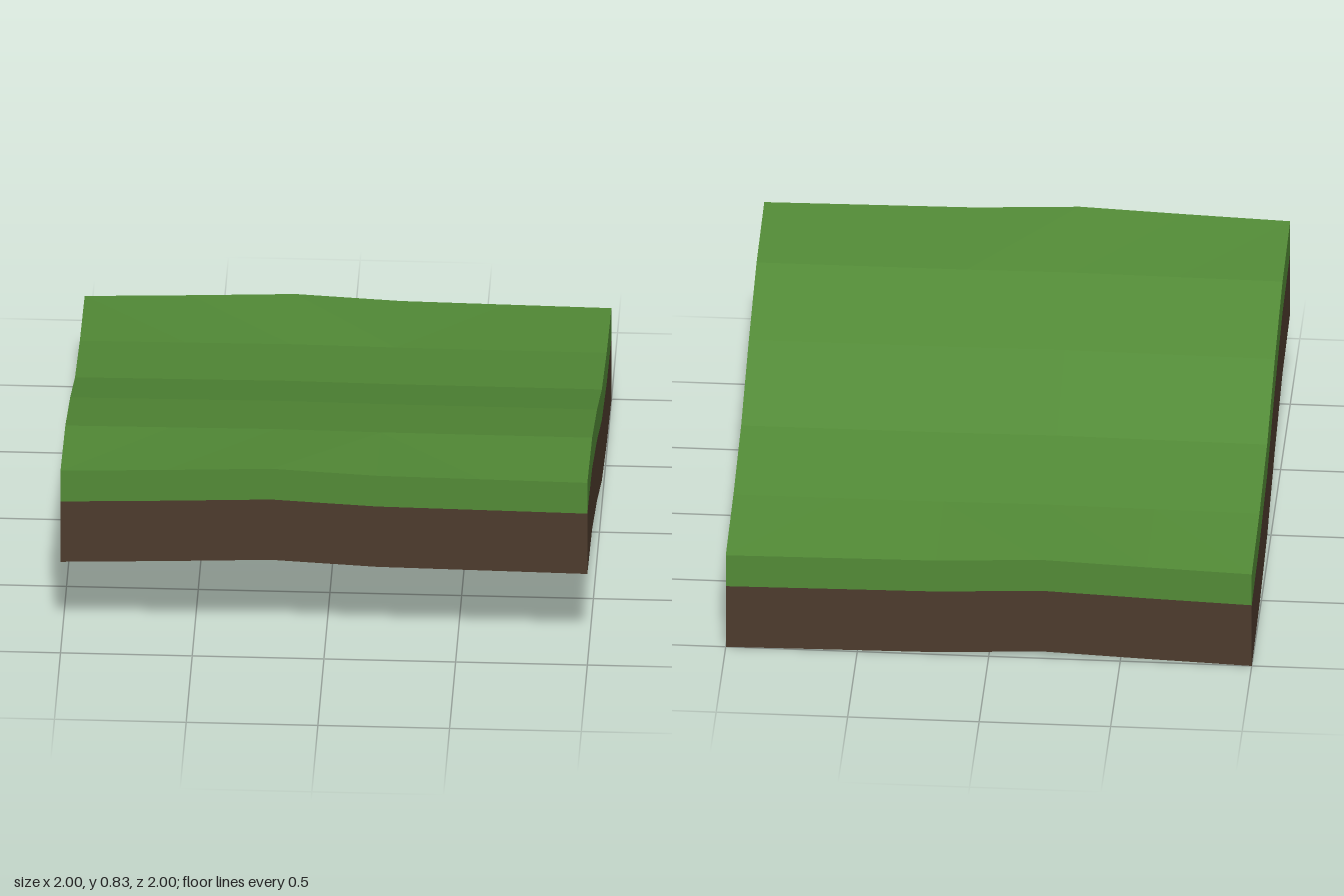
import * as THREE from 'three';

const STEP = 0.4, N = 5;
const SLOPE = [0.40, 0.437, 0.51, 0.655, 0.765, 0.80]; // surface height from back to front
const RIDGE = [0, 0.014, 0.03, 0.01, 0.005, 0];        // gentle bump from -x to +x
const GRASS = 0.135, DEPTH = 0.4;

const at = (i) => -1 + i * STEP;
const height = (i, j) => SLOPE[j] + RIDGE[i] * (j === 0 || j === N ? 1 : 0.2);

// Faceted mesh from a list of quads, each a, b, c, d counter-clockwise
function quadMesh(name, quads, material) {
  const points = quads.flatMap(([a, b, c, d, flip]) => (flip ? [a, b, d, b, c, d] : [a, b, c, a, c, d]));
  const geometry = new THREE.BufferGeometry().setFromPoints(points);
  geometry.computeVertexNormals();
  const mesh = new THREE.Mesh(geometry, material);
  mesh.name = name;
  return mesh;
}

export function createModel() {
  const grass = new THREE.MeshStandardMaterial({ color: 0x528a36, side: THREE.DoubleSide });
  grass.name = 'grass green';
  const soil = new THREE.MeshStandardMaterial({ color: 0x4d3b2d, side: THREE.DoubleSide });
  soil.name = 'soil brown';
  const group = new THREE.Group();
  group.name = 'terrainSlope';
  const point = (i, j, drop = 0) => new THREE.Vector3(at(i), height(i, j) - drop, at(j));

  // Rolling grass surface
  const top = [];
  for (let i = 0; i < N; i++) {
    for (let j = 0; j < N; j++) {
      top.push([point(i, j), point(i, j + 1), point(i + 1, j + 1), point(i + 1, j), (i > 2) !== (j > 2)]);
    }
  }
  group.add(quadMesh('grassSurface', top, grass));

  // Walls follow the edge of the surface; the underside stays open
  const sides = {
    front: (k) => [k, N],
    right: (k) => [N, N - k],
    back: (k) => [N - k, 0],
    left: (k) => [0, k],
  };
  for (const [side, edge] of Object.entries(sides)) {
    const band = (from, to) => Array.from({ length: N }, (_, k) => {
      const a = edge(k), b = edge(k + 1);
      return [point(...a, to), point(...b, to), point(...b, from), point(...a, from)];
    });
    group.add(quadMesh(`${side}GrassEdge`, band(0, GRASS), grass));
    group.add(quadMesh(`${side}SoilWall`, band(GRASS, DEPTH), soil));
  }
  return group;
}
